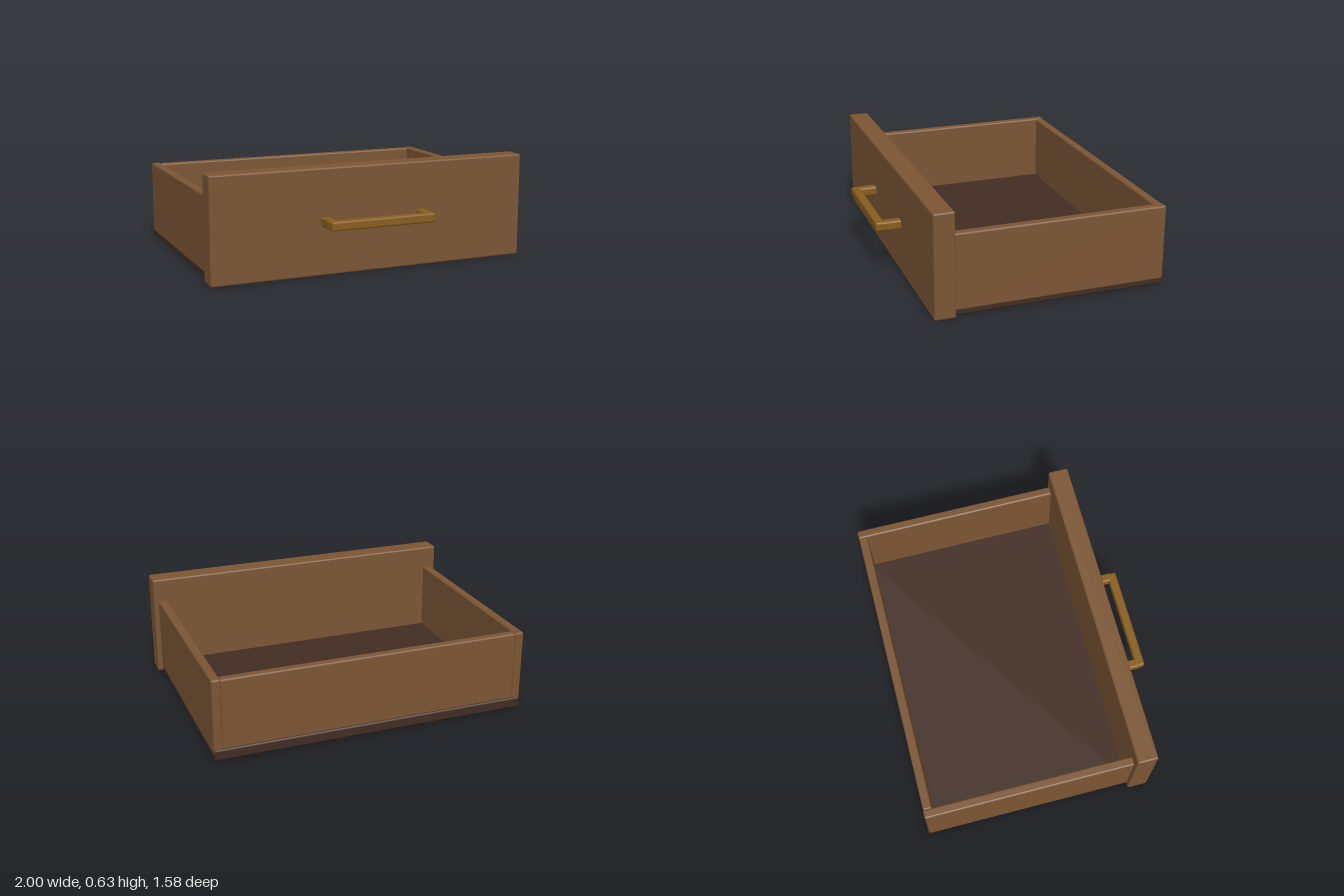
import * as THREE from 'three';
import { RoundedBoxGeometry } from 'three/addons/geometries/RoundedBoxGeometry.js';

export function createModel() {
  const model = new THREE.Group();
  model.name = 'drawer';

  const material = (name, color) => {
    const m = new THREE.MeshStandardMaterial({ color });
    m.name = name;
    return m;
  };
  const wood = material('wood', 0x7b5534);
  const darkWood = material('dark wood', 0x422d23);
  const brass = material('brass', 0x875c1c);

  // Box with softened edges, given by its [min, max] on each axis
  const block = (name, mat, [x0, x1], [y0, y1], [z0, z1], bevel = 0.012) => {
    const geometry = new RoundedBoxGeometry(x1 - x0, y1 - y0, z1 - z0, 2, bevel);
    const mesh = new THREE.Mesh(geometry, mat);
    mesh.position.set((x0 + x1) / 2, (y0 + y1) / 2, (z0 + z1) / 2);
    mesh.name = name;
    return mesh;
  };

  // Front panel, back wall and floor
  model.add(
    block('frontPanel', wood, [-1, 1], [0, 0.635], [0.51, 0.637]),
    block('backWall', wood, [-0.918, 0.918], [0.03, 0.49], [-0.778, -0.724]),
    block('floor', darkWood, [-0.967, 0.967], [0, 0.067], [-0.79, 0.52])
  );

  // Side walls
  for (const [name, x] of [['leftWall', 0.942], ['rightWall', -0.942]]) {
    model.add(block(name, wood, [x - 0.028, x + 0.028], [0.03, 0.493], [-0.78, 0.515]));
  }

  // Pull handle: a bar on two posts
  const handle = new THREE.Group();
  handle.name = 'handle';
  handle.add(block('handleBar', brass, [-0.33, 0.33], [0.292, 0.348], [0.735, 0.79]));
  for (const [name, x] of [['leftPost', 0.306], ['rightPost', -0.306]]) {
    handle.add(block(name, brass, [x - 0.028, x + 0.028], [0.292, 0.348], [0.62, 0.757]));
  }
  model.add(handle);

  return model;
}
